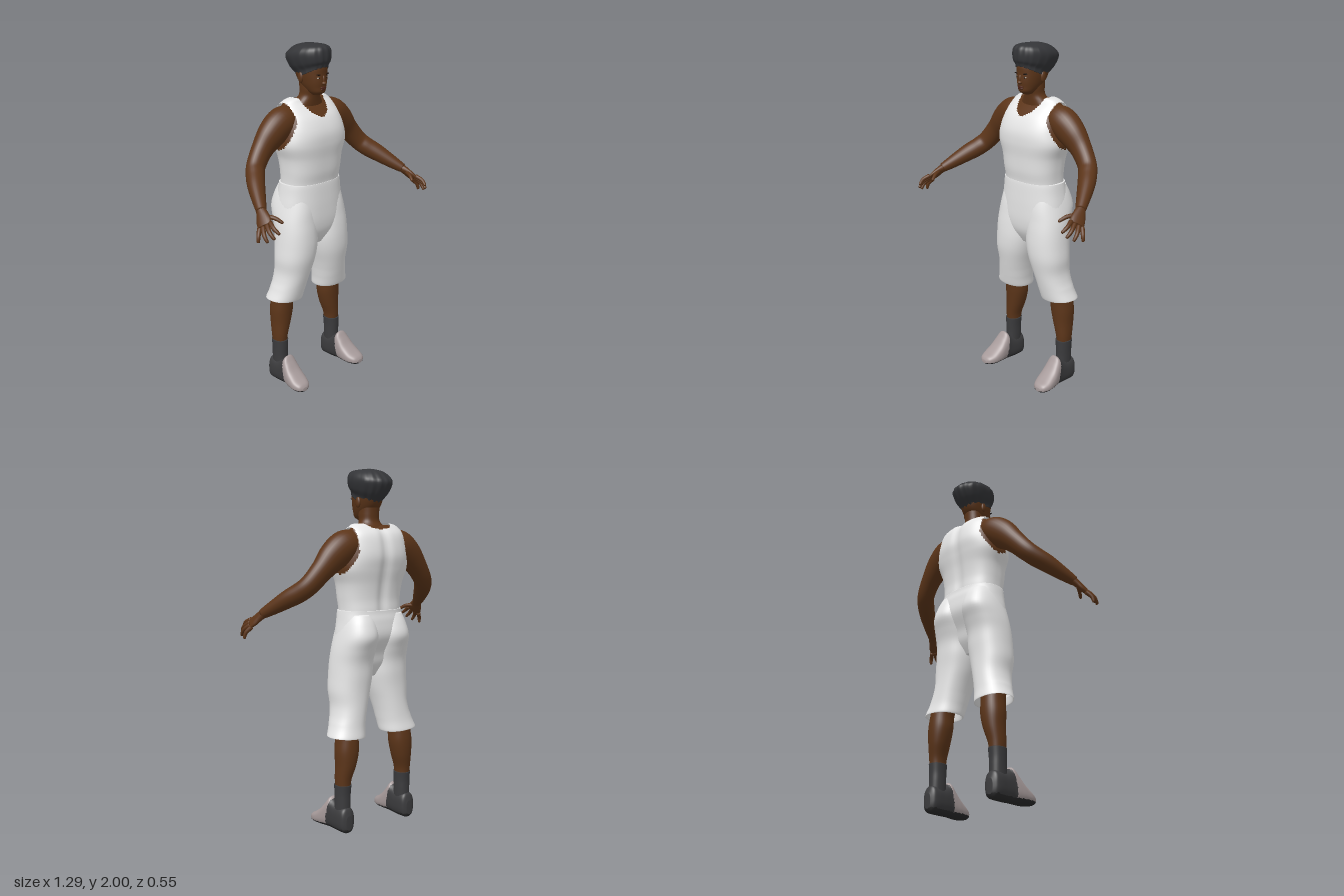
import * as THREE from 'three';

const material = (name, color, side = THREE.FrontSide) => {
  const m = new THREE.MeshStandardMaterial({ color, side });
  m.name = name;
  return m;
};

// Catmull-Rom through rows of numbers, u in 0..1
function sample(rows, u) {
  const f = u * (rows.length - 1), i = Math.min(Math.floor(f), rows.length - 2), t = f - i;
  const a = rows[Math.max(i - 1, 0)], b = rows[i], c = rows[i + 1], d = rows[Math.min(i + 2, rows.length - 1)];
  return b.map((_, k) => b[k] + 0.5 * t * (c[k] - a[k] + t * (2 * a[k] - 5 * b[k] + 4 * c[k] - d[k] + t * (3 * (b[k] - c[k]) + d[k] - a[k]))));
}

// Closed tube surface from point(u, angle); pick(x, y, z) gives a material index, or -1 for a hole
function surface(name, point, mats, { nu = 32, n = 32, pick = () => 0, caps = [true, true] } = {}) {
  const pos = [], faces = mats.map(() => []);
  const rowCentre = (u) => {
    const c = new THREE.Vector3();
    for (let j = 0; j < n; j++) c.add(point(u, (j / n) * 2 * Math.PI));
    return c.divideScalar(n);
  };
  for (let i = 0; i <= nu; i++)
    for (let j = 0; j < n; j++) pos.push(...point(i / nu, (j / n) * 2 * Math.PI).toArray());
  for (let i = 0; i < nu; i++)
    for (let j = 0; j < n; j++) {
      const k = (j + 1) % n, a = i * n + j, b = i * n + k, c = b + n, d = a + n;
      const mid = [0, 1, 2].map((q) => (pos[a * 3 + q] + pos[b * 3 + q] + pos[c * 3 + q] + pos[d * 3 + q]) / 4);
      const m = pick(...mid);
      if (m >= 0) faces[m].push(a, b, c, a, c, d);
    }
  caps.forEach((on, end) => {
    if (!on) return;
    const row = end * nu * n, centre = pos.length / 3;
    const c = rowCentre(end).toArray();
    pos.push(...c);
    const m = Math.max(pick(...c), 0);
    for (let j = 0; j < n; j++) {
      const a = row + j, b = row + ((j + 1) % n);
      faces[m].push(...(end ? [a, b, centre] : [b, a, centre]));
    }
  });
  const g = new THREE.BufferGeometry();
  g.setAttribute('position', new THREE.Float32BufferAttribute(pos, 3));
  g.setIndex(faces.flat());
  let start = 0;
  faces.forEach((f, m) => { g.addGroup(start, f.length, m); start += f.length; });
  g.computeVertexNormals();
  const mesh = new THREE.Mesh(g, mats.length > 1 ? mats : mats[0]);
  mesh.name = name;
  return mesh;
}

// Upright loft; ring = [y, centreX, halfWidth, zFront, zBack, dropAtBack]
function loft(name, rings, mats, { p = 2.2, warp, ...opts } = {}) {
  const pw = (v) => Math.sign(v) * Math.abs(v) ** (2 / p);
  return surface(name, (u, th) => {
    const [y, cx, rx, zf, zb, drop = 0] = sample(rings, u);
    const c = Math.cos(th);
    const v = new THREE.Vector3(cx + rx * pw(Math.sin(th)), y - drop * (1 - c) / 2, (zf + zb) / 2 + (zf - zb) / 2 * pw(c));
    if (warp) warp(v, th);
    return v;
  }, mats, opts);
}

// Limb along a path; row = [x, y, z, radiusAlongSide, radiusAcross]
function limb(name, rows, side, mat, opts = {}) {
  const at = (u) => new THREE.Vector3(...sample(rows, u).slice(0, 3));
  return surface(name, (u, th) => {
    const r = sample(rows, u);
    const T = at(Math.min(u + 0.01, 1)).sub(at(Math.max(u - 0.01, 0))).normalize();
    const A = side.clone().addScaledVector(T, -side.dot(T)).normalize();
    const B = T.clone().cross(A);
    return at(u).addScaledVector(A, r[3] * Math.cos(th)).addScaledVector(B, r[4] * Math.sin(th));
  }, [mat], { nu: 24, n: 20, ...opts });
}

export function createModel() {
  const model = new THREE.Group();
  model.name = 'standingFigure';
  const skin = material('skin', 0x5c3519), cloth = material('whiteCloth', 0xebebeb, THREE.DoubleSide);
  const hairMat = material('hair', 0x343538), sockMat = material('darkFabric', 0x3b3b3d);
  const shoeMat = material('shoeUpper', 0xa69a9a), soleMat = material('sole', 0x2a2a2b);
  const lipMat = material('lips', 0x4a2317), darkMat = material('browsAndPupils', 0x1c120c), eyeMat = material('eyeWhite', 0xa89a8c);
  const add = (...m) => model.add(...m);
  const ball = (name, mat, at, scale, parent = model) => {
    const m = new THREE.Mesh(new THREE.SphereGeometry(1, 16, 12), mat);
    m.name = name;
    m.position.set(...at);
    m.scale.set(...scale);
    parent.add(m);
    return m;
  };

  // Torso and sleeveless shirt share one profile
  const torso = [
    [1.2, 0, 0.183, 0.008, -0.236], [1.24, 0, 0.182, 0.01, -0.236], [1.3, 0, 0.187, 0.02, -0.235],
    [1.38, 0, 0.198, 0.026, -0.245], [1.46, 0, 0.224, 0.035, -0.262], [1.53, 0, 0.215, 0.03, -0.273],
    [1.6, 0, 0.2, 0.0, -0.264], [1.65, 0, 0.185, -0.042, -0.246], [1.685, 0, 0.16, -0.078, -0.215],
    [1.703, 0, 0.125, -0.09, -0.19], [1.706, 0, 0.06, -0.1, -0.17],
  ];
  const inner = torso.map(([y, x, r, f, b]) => [y - 0.008, x, r - 0.012, f - 0.01, b + 0.01]);
  const spine = (v) => { if (v.z < -0.15) v.z += 0.014 * Math.exp(-((v.x / 0.03) ** 2)); };
  const shirtRule = (x, y, z) => {
    const ax = Math.abs(x);
    const armhole = ax > 0.16 && ((y - 1.57) / 0.135) ** 2 + ((z + 0.135) / 0.1) ** 2 < 1;
    const neck = (x / 0.088) ** 2 + ((y - 1.71) / (z > -0.13 ? 0.1 : 0.035)) ** 2 < 1;
    return armhole || neck ? -1 : 0;
  };
  add(loft('torso', inner, [skin], { p: 2.5, warp: spine, n: 48, nu: 40 }));
  add(loft('shirt', torso, [cloth], { p: 2.5, warp: spine, n: 128, nu: 80, pick: shirtRule, caps: [false, false] }));

  // Neck and head
  add(loft('neck', [
    [1.655, 0, 0.115, -0.07, -0.2], [1.69, 0, 0.08, -0.065, -0.18], [1.72, 0, 0.058, -0.06, -0.165],
    [1.76, 0, 0.056, -0.05, -0.165], [1.82, 0, 0.056, -0.05, -0.17]], [skin]));
  add(loft('head', [
    [1.725, 0, 0.025, -0.03, -0.08], [1.742, 0, 0.043, -0.006, -0.11], [1.77, 0, 0.057, -0.002, -0.145],
    [1.8, 0, 0.066, 0.002, -0.175], [1.84, 0, 0.073, 0.002, -0.195], [1.88, 0, 0.073, 0.003, -0.205],
    [1.93, 0, 0.06, -0.01, -0.19]], [skin]));
  ball('nose', skin, [0, 1.793, 0.003], [0.015, 0.01, 0.015]);
  ball('noseBridge', skin, [0, 1.812, -0.001], [0.008, 0.024, 0.01]);
  ball('upperLip', lipMat, [0, 1.769, -0.002], [0.022, 0.005, 0.008]);
  ball('lowerLip', lipMat, [0, 1.76, -0.003], [0.02, 0.006, 0.008]);

  // Hair: full crown, lower at the nape
  add(loft('hair', [
    [1.878, 0, 0.074, 0.004, -0.165, 0.08], [1.895, 0, 0.077, 0.01, -0.19, 0.07], [1.915, 0, 0.096, 0.02, -0.23, 0.05],
    [1.95, 0, 0.107, 0.022, -0.257, 0.03], [1.98, 0, 0.097, 0.014, -0.235, 0.025],
    [1.995, 0, 0.068, -0.012, -0.19, 0.01], [2.0, 0, 0.02, -0.08, -0.13, 0]], [hairMat], {
    n: 64, p: 2.1, warp: (v, th) => { v.x *= 1 + 0.012 * Math.sin(13 * th); v.z += 0.003 * Math.sin(17 * th); } }));

  // Shorts: hips plus two wide legs
  add(loft('shortsHips', [
    [0.86, 0, 0.07, -0.04, -0.15], [0.93, 0, 0.17, 0.0, -0.19], [1.0, 0, 0.215, 0.014, -0.21],
    [1.09, 0, 0.214, 0.016, -0.25], [1.17, 0, 0.202, 0.014, -0.25], [1.215, 0, 0.196, 0.012, -0.242],
    [1.235, 0, 0.193, 0.01, -0.24]], [cloth], { p: 2.4, n: 48 }));

  for (const s of [1, -1]) {
    const label = s > 0 ? 'left' : 'right';
    const at = (rows) => rows.map(([x, ...r]) => [x * s, ...r]);
    const col = (rows) => rows.map(([y, x, ...r]) => [y, x * s, ...r]);

    // Face details
    ball(label + 'Eye', eyeMat, [s * 0.029, 1.822, -0.009], [0.011, 0.005, 0.006]);
    ball(label + 'Pupil', darkMat, [s * 0.029, 1.822, -0.006], [0.005, 0.005, 0.005]);
    ball(label + 'Brow', darkMat, [s * 0.031, 1.84, -0.006], [0.018, 0.004, 0.006]).rotation.z = s * 0.1;
    ball(label + 'Ear', skin, [s * 0.072, 1.82, -0.105], [0.011, 0.03, 0.018]);

    // Arm
    add(limb(label + 'Arm', at([
      [0.11, 1.6, -0.14, 0.07, 0.07], [0.19, 1.583, -0.137, 0.08, 0.088], [0.265, 1.53, -0.136, 0.071, 0.083],
      [0.335, 1.46, -0.133, 0.055, 0.064], [0.4, 1.385, -0.112, 0.049, 0.056], [0.437, 1.345, -0.075, 0.05, 0.054],
      [0.478, 1.307, -0.02, 0.046, 0.05], [0.525, 1.257, 0.055, 0.036, 0.038], [0.558, 1.222, 0.11, 0.027, 0.027]]),
      new THREE.Vector3(0, 0, 1), skin, { nu: 48, n: 28 }));

    // Hand: palm, four fingers and thumb
    const hand = new THREE.Group();
    hand.name = label + 'Hand';
    const across = new THREE.Vector3(s * 0.06, -0.055, -0.115);
    hand.add(limb('palm', at([
      [0.553, 1.227, 0.1, 0.026, 0.025], [0.566, 1.208, 0.126, 0.034, 0.021], [0.58, 1.185, 0.152, 0.042, 0.018],
      [0.593, 1.166, 0.174, 0.04, 0.014]]), across, skin));
    [['indexFinger', [0.576, 1.186, 0.198], [0.588, 1.168, 0.238], [0.58, 1.146, 0.268]],
      ['middleFinger', [0.588, 1.173, 0.185], [0.606, 1.148, 0.226], [0.601, 1.121, 0.255]],
      ['ringFinger', [0.6, 1.161, 0.168], [0.622, 1.132, 0.202], [0.622, 1.102, 0.225]],
      ['littleFinger', [0.606, 1.15, 0.148], [0.63, 1.12, 0.167], [0.637, 1.09, 0.172]],
      ['thumb', [0.56, 1.203, 0.14], [0.535, 1.198, 0.186], [0.515, 1.178, 0.222]],
    ].forEach(([name, a, b, c]) => {
      const tip = c.map((v, k) => v + (c[k] - b[k]) * 0.08);
      hand.add(limb(name, at([[...a, 0.013, 0.013], [...b, 0.011, 0.011], [...c, 0.008, 0.008], [...tip, 0.003, 0.003]]),
        across, skin, { nu: 12, n: 12 }));
    });
    add(hand);

    // Shorts leg, open at the hem with a turned-in edge
    add(loft(label + 'ShortsLeg', col([
      [0.58, 0.188, 0.085, -0.055, -0.215], [0.545, 0.186, 0.1, -0.052, -0.232], [0.54, 0.184, 0.108, -0.046, -0.24],
      [0.6, 0.168, 0.1, -0.03, -0.228], [0.7, 0.145, 0.1, -0.006, -0.22], [0.79, 0.134, 0.115, 0.014, -0.218],
      [0.87, 0.124, 0.12, 0.02, -0.222], [0.95, 0.12, 0.118, 0.018, -0.228], [1.02, 0.115, 0.116, 0.012, -0.25],
      [1.09, 0.11, 0.108, 0.005, -0.275], [1.16, 0.105, 0.095, -0.01, -0.258], [1.215, 0.1, 0.08, -0.03, -0.232]]),
      [cloth], { n: 40, nu: 55, caps: [false, true],
        warp: (v, th) => { if (v.y < 0.62) v.y -= 0.008 * Math.sin(th) * -s; } }));

    // Lower leg and sock
    add(loft(label + 'Leg', col([
      [0.24, 0.216, 0.038, -0.11, -0.198], [0.3, 0.215, 0.043, -0.105, -0.204], [0.38, 0.202, 0.056, -0.1, -0.22],
      [0.46, 0.194, 0.066, -0.094, -0.226], [0.54, 0.189, 0.063, -0.088, -0.22], [0.64, 0.18, 0.07, -0.07, -0.205]]), [skin]));
    add(loft(label + 'Sock', col([
      [0.1, 0.218, 0.04, -0.1, -0.2], [0.17, 0.217, 0.041, -0.104, -0.2], [0.22, 0.217, 0.042, -0.103, -0.2],
      [0.27, 0.216, 0.045, -0.102, -0.204]]), [sockMat]));

    // Shoe, lofted toe to heel: light front, dark heel, darker sole
    const shoe = loft(label + 'Shoe', col([
      [-0.086, 0.236, 0.018, 0.04, 0.018], [-0.072, 0.235, 0.042, 0.058, 0.01], [-0.035, 0.232, 0.058, 0.078, 0.006],
      [0.01, 0.228, 0.06, 0.112, 0.004], [0.045, 0.225, 0.056, 0.153, 0.003], [0.073, 0.222, 0.051, 0.185, 0.002],
      [0.095, 0.221, 0.049, 0.166, 0.001], [0.13, 0.22, 0.049, 0.15, 0], [0.175, 0.22, 0.049, 0.148, 0],
      [0.205, 0.22, 0.042, 0.14, 0.002], [0.22, 0.22, 0.02, 0.1, 0.02]]),
      [shoeMat, sockMat, soleMat], { p: 2.5, n: 64, nu: 60,
        pick: (x, back, h) => (h < 0.025 ? 2 : back > 0.06 + 0.2 * Math.max(h - 0.04, 0) ? 1 : 0) });
    shoe.geometry.rotateX(-Math.PI / 2);
    add(shoe);
  }
  return model;
}
